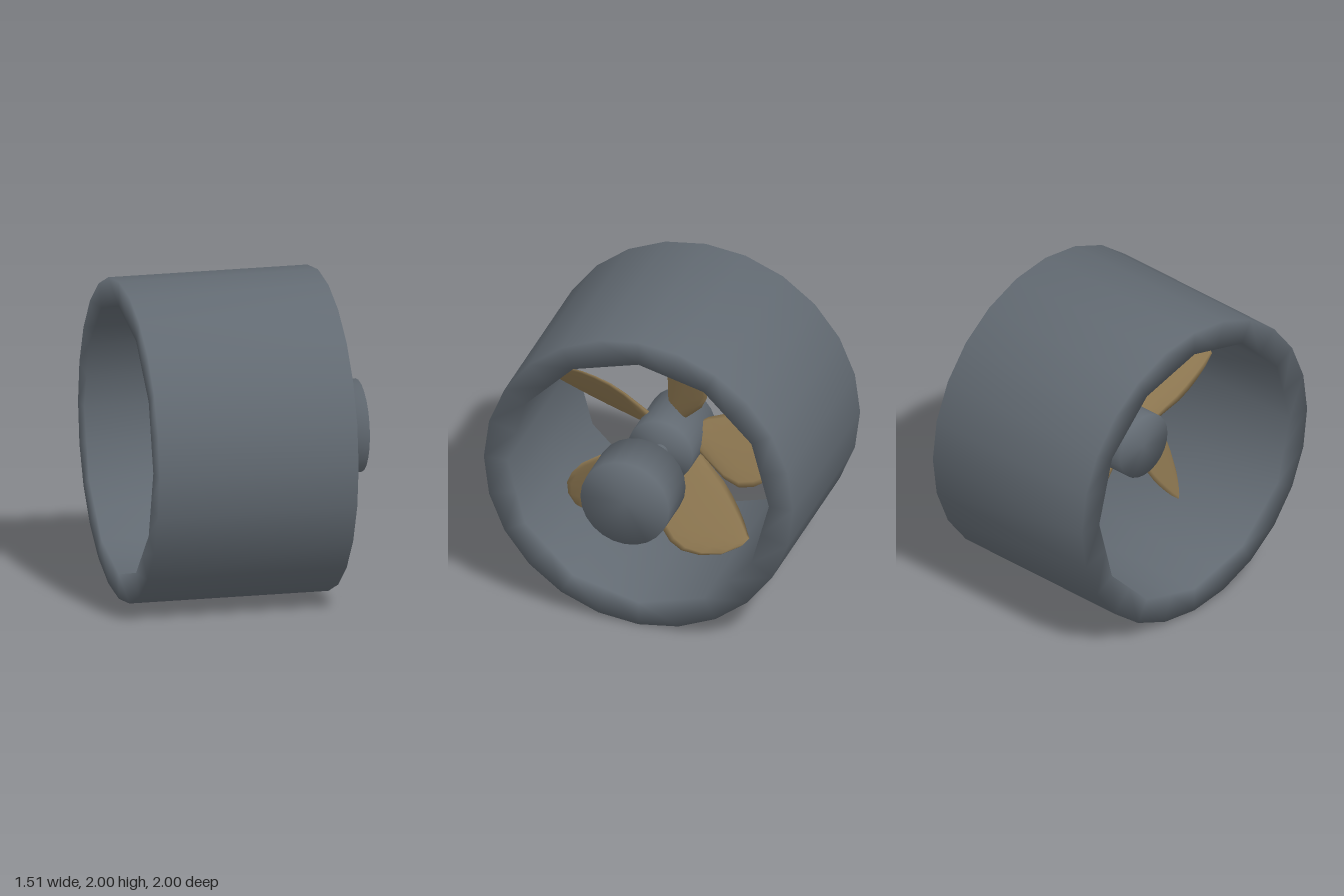
import * as THREE from 'three';

const SIDES = 24;

// Solid of revolution along x, from [x, radius] pairs, with normals smoothed over the rims
function turned(profile, name, material) {
  const points = profile.map(([x, r]) => new THREE.Vector2(r, x));
  const geometry = new THREE.LatheGeometry(points, SIDES);
  const mesh = new THREE.Mesh(geometry.rotateZ(-Math.PI / 2), material);
  mesh.name = name;
  return mesh;
}

const rod = (x0, x1, r, name, material) =>
  turned([[x0, 0], [x0, r], [x1, r], [x1, 0]], name, material);

// Pitched, lens-section blade standing on +y; rows are [radius, straight edge, bulging edge]
function bladeGeometry() {
  const rows = [
    [0.16, -0.03, 0.10], [0.24, -0.05, 0.17], [0.34, -0.055, 0.255], [0.44, -0.06, 0.305],
    [0.54, -0.055, 0.31], [0.63, -0.045, 0.29], [0.72, -0.03, 0.235], [0.80, -0.01, 0.15],
    [0.85, 0, 0.01],
  ];
  const n = 12, positions = [], index = [];
  rows.forEach(([y, a, b], j) => {
    const thick = 0.028 * (1 - 0.7 * j / (rows.length - 1));
    for (let i = 0; i < n; i++) {
      const phi = i / n * Math.PI * 2;
      const c = (a + b) / 2 + (b - a) / 2 * Math.cos(phi);
      const t = thick * Math.sin(phi);
      positions.push(-0.16 + 0.85 * c + 0.76 * t, y, -c + 0.65 * t);
      if (j < rows.length - 1) {
        const p = j * n + i, q = j * n + (i + 1) % n;
        index.push(p, p + n, q, q, p + n, q + n);
      }
    }
  });
  const geometry = new THREE.BufferGeometry();
  geometry.setAttribute('position', new THREE.Float32BufferAttribute(positions, 3));
  geometry.setIndex(index);
  geometry.computeVertexNormals();
  return geometry;
}

export function createModel() {
  const steel = new THREE.MeshStandardMaterial({ color: 0x626a72 });
  steel.name = 'steel grey';
  const bronze = new THREE.MeshStandardMaterial({ color: 0x8c7650 });
  bronze.name = 'bronze';

  const model = new THREE.Group();
  model.name = 'ductedThruster';
  const assembly = new THREE.Group();
  assembly.name = 'thrusterAssembly';
  assembly.position.y = 1;
  model.add(assembly);

  // Duct: finer outside, coarser twelve-sided bore
  const duct = turned([[-0.13, 0.845], [-0.757, 0.845], [-0.757, 1], [0.5, 1], [0.5, 0.845], [-0.13, 0.845]],
    'duct', steel);
  const pos = duct.geometry.attributes.position;
  for (let i = 0; i < pos.count; i++) {
    const y = pos.getY(i), z = pos.getZ(i);
    const step = Math.round(Math.atan2(z, y) / (Math.PI * 2 / SIDES));
    if (Math.hypot(y, z) < 0.9 && step % 2 !== 0) {
      const k = Math.cos(Math.PI / 12);
      pos.setXYZ(i, pos.getX(i), y * k, z * k);
    }
  }
  assembly.add(duct);

  // Motor, shaft and propeller hub
  assembly.add(rod(0.445, 0.755, 0.287, 'motorHousing', steel));
  assembly.add(rod(0.05, 0.47, 0.05, 'driveShaft', steel));
  assembly.add(rod(-0.33, 0.09, 0.21, 'propellerHub', steel));

  // Propeller blades
  const blade = bladeGeometry();
  const propeller = new THREE.Group();
  propeller.name = 'propeller';
  for (let i = 0; i < 5; i++) {
    const mesh = new THREE.Mesh(blade, bronze);
    mesh.name = 'blade' + (i + 1);
    mesh.rotation.x = -i * Math.PI * 2 / 5;
    propeller.add(mesh);
  }
  assembly.add(propeller);
  return model;
}
